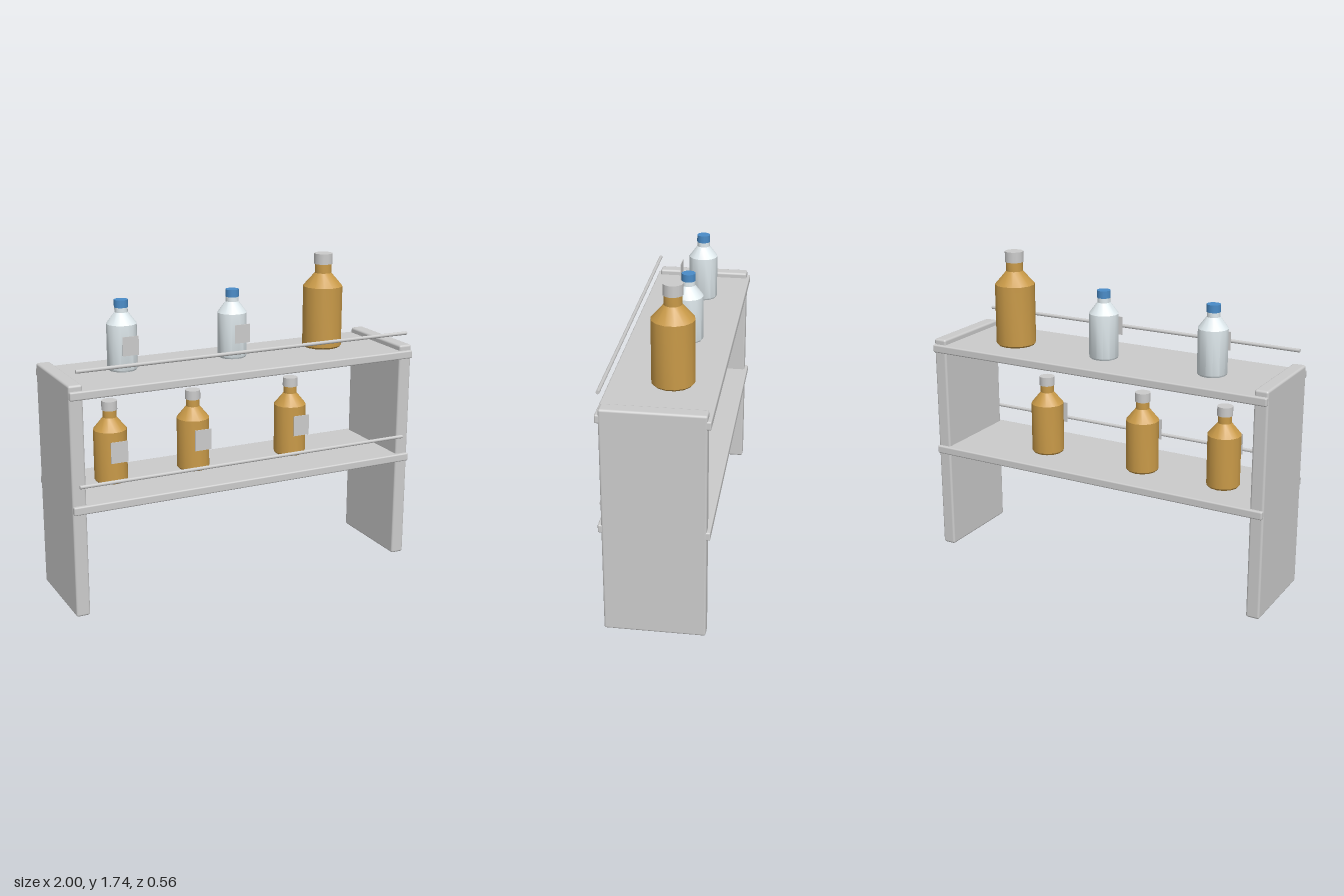
import * as THREE from 'three';
import { toCreasedNormals } from 'three/addons/utils/BufferGeometryUtils.js';
import { RoundedBoxGeometry } from 'three/addons/geometries/RoundedBoxGeometry.js';

const SIDES = 14;
const material = (color) => new THREE.MeshStandardMaterial({ color });
const grey = material(0xcccccc);
const amber = material(0xc99a48);
const clear = material(0xe2ecf0);
const blue = material(0x4a8cc8);

function add(parent, name, geometry, mat, x, y, z) {
  const mesh = new THREE.Mesh(geometry, mat);
  mesh.name = name;
  mesh.position.set(x, y, z);
  parent.add(mesh);
  return mesh;
}

// Bottle kinds: radii and heights measured from the base
const KINDS = {
  small: { r: 0.08, neck: 0.035, body: 0.245, shoulder: 0.305, capY: 0.33, top: 0.37, capR: 0.037,
    glass: clear, cap: blue, label: { w: 0.088, h: 0.1, y: 0.15, z: 0.125 } },
  medium: { r: 0.09, neck: 0.037, body: 0.285, shoulder: 0.35, capY: 0.39, top: 0.44, capR: 0.042,
    glass: amber, cap: grey, label: { w: 0.095, h: 0.115, y: 0.193, z: 0.135 } },
  large: { r: 0.11, neck: 0.046, body: 0.342, shoulder: 0.415, capY: 0.465, top: 0.523, capR: 0.051,
    glass: amber, cap: grey },
};

function makeBottle(k) {
  const group = new THREE.Group();
  group.name = 'bottle';
  const profile = [
    [0, 0], [k.r * 0.92, 0], [k.r, 0.01], [k.r, k.body],
    [k.neck, k.shoulder], [k.neck, k.capY + 0.01], [0, k.capY + 0.01],
  ].map(([r, y]) => new THREE.Vector2(r, y));
  add(group, 'bottleBody', toCreasedNormals(new THREE.LatheGeometry(profile, SIDES), 0.6), k.glass, 0, 0, 0);
  const capHeight = k.top - k.capY;
  add(group, 'bottleCap', new THREE.CylinderGeometry(k.capR, k.capR, capHeight, SIDES), k.cap,
    0, k.capY + capHeight / 2, 0);
  // Flat label standing in front of the bottle
  if (k.label) {
    const { w, h, y, z } = k.label;
    add(group, 'label', new THREE.BoxGeometry(w, h, 0.004), grey, 0, y, z);
  }
  return group;
}

export function createModel() {
  const rack = new THREE.Group();
  rack.name = 'bottleRack';

  // Side panels
  for (const side of [-1, 1]) {
    add(rack, side > 0 ? 'leftPanel' : 'rightPanel',
      new RoundedBoxGeometry(0.075, 1.24, 0.52, 2, 0.012), grey, side * 0.9625, 0.62, 0);
  }

  // Shelves with front guard rails and their bottles
  const tiers = [
    { name: 'lower', top: 0.61, bottles: [['medium', -0.68], ['medium', -0.2], ['medium', 0.4]] },
    { name: 'upper', top: 1.21, bottles: [['small', -0.6], ['small', 0.037], ['large', 0.597]] },
  ];
  for (const { name, top, bottles } of tiers) {
    add(rack, name + 'Shelf', new RoundedBoxGeometry(1.996, 0.045, 0.555, 2, 0.008), grey, 0, top - 0.0225, 0);
    const rail = add(rack, name + 'Rail', new THREE.CylinderGeometry(0.01, 0.01, 1.92, 8), grey, 0, top + 0.1, 0.263);
    rail.rotation.z = Math.PI / 2;
    for (const [kind, x] of bottles) {
      const bottle = makeBottle(KINDS[kind]);
      bottle.position.set(x, top + 0.002, -0.04);
      rack.add(bottle);
    }
  }
  return rack;
}
